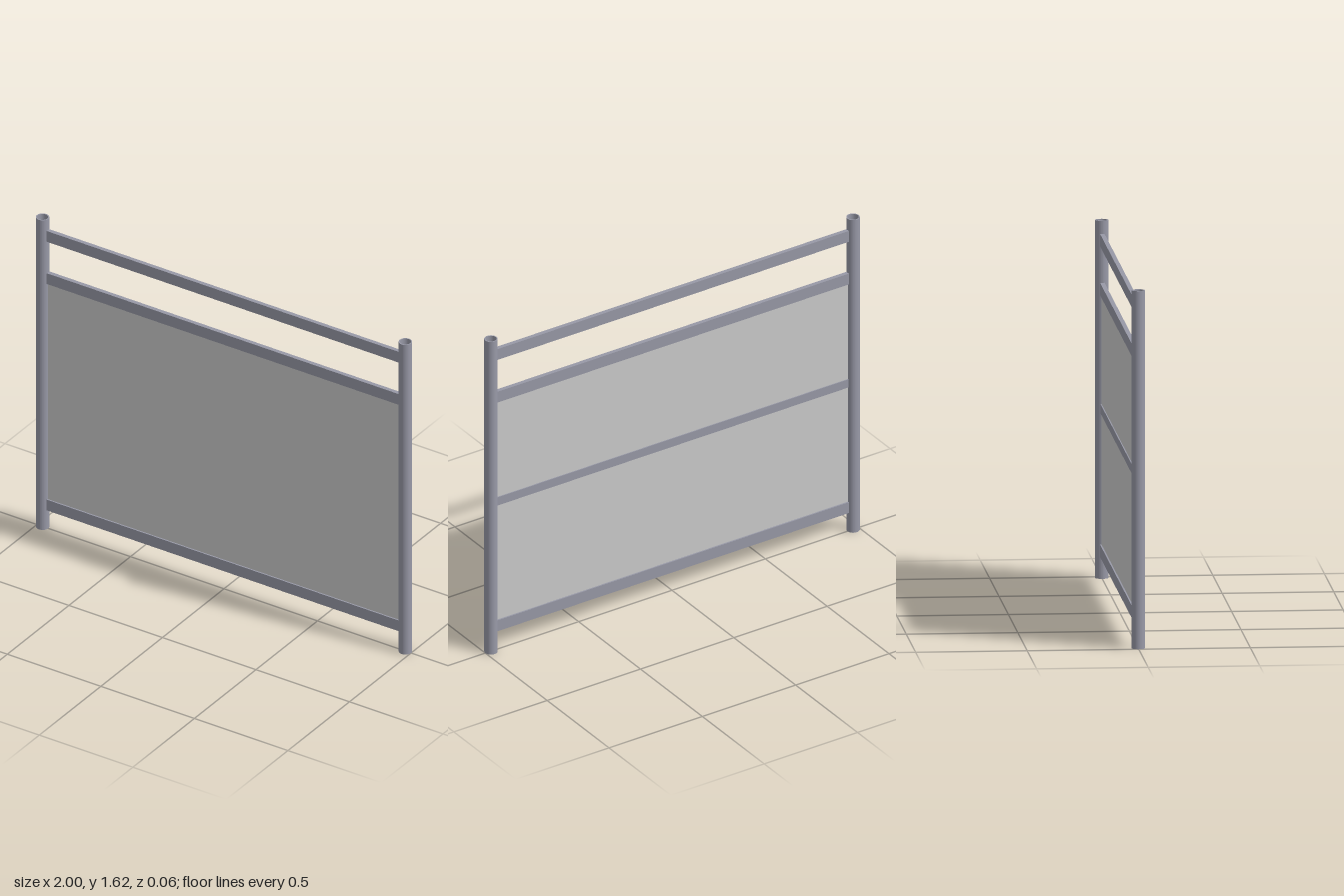
import * as THREE from 'three';

const metal = new THREE.MeshStandardMaterial({ color: 0x9899a7 });
const sheet = new THREE.MeshStandardMaterial({ color: 0xcccccc });

const POST_X = 0.97, POST_R = 0.03, POST_WALL = 0.005, POST_H = 1.62;

export function createModel() {
  const model = new THREE.Group();
  model.name = 'railingPanel';

  const add = (name, geometry, material, x, y, z) => {
    const mesh = new THREE.Mesh(geometry, material);
    mesh.name = name;
    mesh.position.set(x, y, z);
    model.add(mesh);
  };

  // Hollow round posts: ring extruded upward
  const ring = new THREE.Shape().absarc(0, 0, POST_R, 0, Math.PI * 2);
  ring.holes.push(new THREE.Path().absarc(0, 0, POST_R - POST_WALL, 0, Math.PI * 2, true));
  const post = new THREE.ExtrudeGeometry(ring, { depth: POST_H, bevelEnabled: false, curveSegments: 32 });
  post.rotateX(-Math.PI / 2);
  add('leftPost', post, metal, POST_X, 0, 0);
  add('rightPost', post, metal, -POST_X, 0, 0);

  // Flat rails running between the post centres
  const rail = new THREE.BoxGeometry(POST_X * 2, 0.056, 0.02);
  add('topRail', rail, metal, 0, 1.533, 0);
  add('upperRail', rail, metal, 0, 1.312, 0);
  add('bottomRail', rail, metal, 0, 0.127, 0);

  // Infill sheet between the upper and bottom rails
  add('panel', new THREE.BoxGeometry(POST_X * 2 - 0.04, 1.14, 0.006), sheet, 0, 0.72, 0);

  // Thin stiffener across the back of the sheet
  add('backStiffener', new THREE.BoxGeometry(POST_X * 2, 0.042, 0.006), metal, 0, 0.77, -0.005);

  return model;
}
